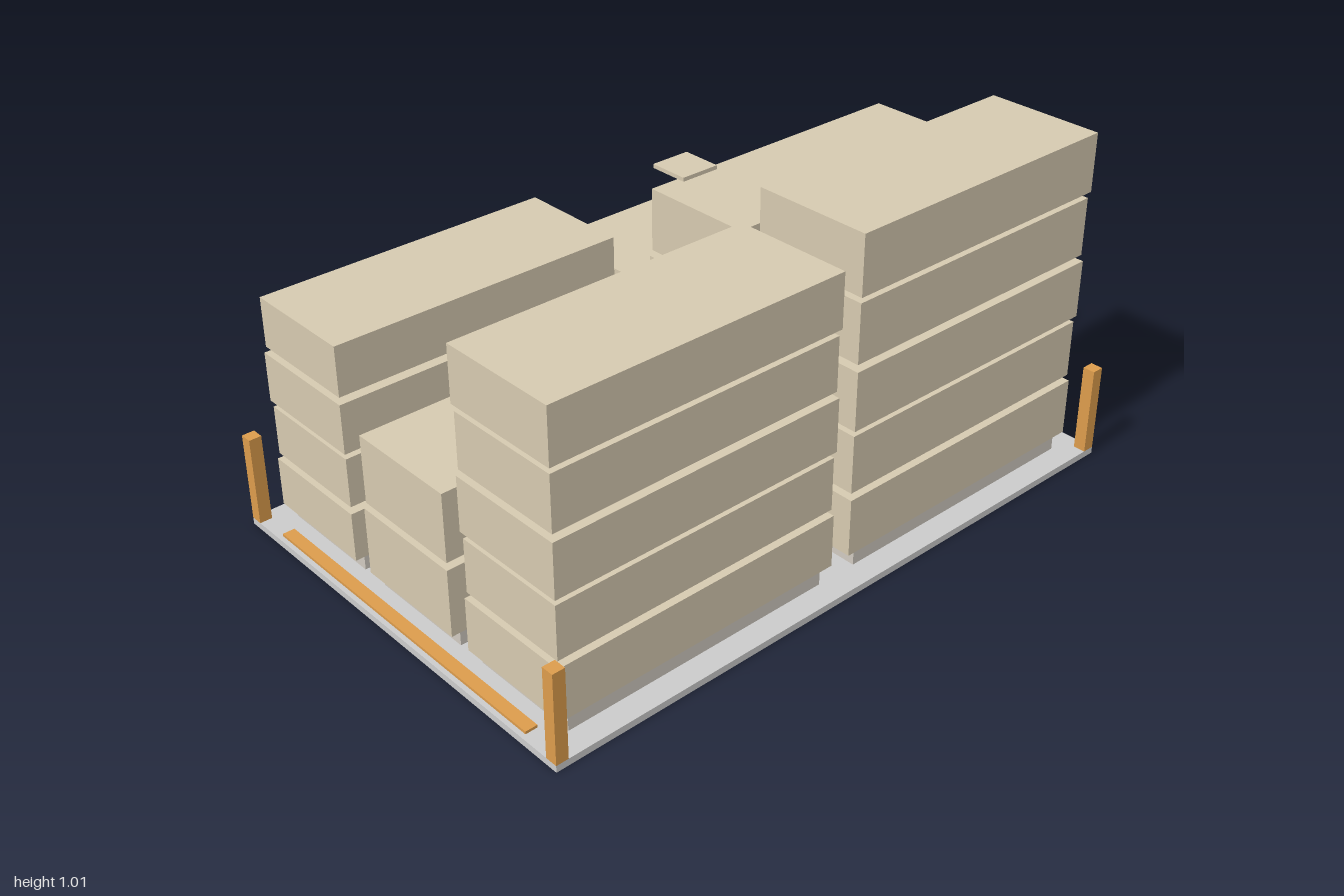
import * as THREE from 'three';

const material = (color) => new THREE.MeshStandardMaterial({ color });

export function createModel() {
  const model = new THREE.Group();
  model.name = 'loadedPlatform';

  const grey = material(0xcccccc);
  const tan = material(0xd6cab0);
  const paleTan = material(0xd0cac0);
  const orange = material(0xdc9c4c);

  // Box standing on height y, centred on x and z
  function addBox(parent, name, mat, [w, h, d], [x, y, z]) {
    const mesh = new THREE.Mesh(new THREE.BoxGeometry(w, h, d), mat);
    mesh.name = name;
    mesh.position.set(x, y + h / 2, z);
    parent.add(mesh);
  }

  // Base plate
  addBox(model, 'basePlate', grey, [1.33, 0.02, 2], [0, 0, 0]);

  // Corner posts
  for (const sx of [-1, 1]) {
    for (const sz of [-1, 1]) {
      addBox(model, 'cornerPost', orange, [0.037, 0.267, 0.037], [sx * 0.6465, 0.02, sz * 0.9815]);
    }
  }

  // Marking strip along the front edge
  addBox(model, 'frontStrip', orange, [1.066, 0.008, 0.036], [0, 0.02, 0.968]);

  // Stacks of crates: spaced layers, alternately wide and narrow, on a plinth
  const bottom = 0.07, gap = 0.0185;
  const stacks = [
    { x: -0.424, z: 0.484, count: 4, top: 0.71 },
    { x: 0, z: 0.484, count: 2, top: 0.49 },
    { x: 0.424, z: 0.484, count: 5, top: 0.932 },
    { x: -0.424, z: -0.484, count: 3, top: 0.56 },
    { x: 0, z: -0.484, count: 4, top: 0.86 },
    { x: 0.424, z: -0.484, count: 5, top: 1.01 },
  ];
  for (const { x, z, count, top } of stacks) {
    const stack = new THREE.Group();
    stack.name = 'crateStack';
    stack.position.set(x, 0, z);
    addBox(stack, 'plinth', paleTan, [0.334, 0.042, 0.84], [0, 0.02, 0]);
    const height = (top - bottom - gap * (count - 1)) / count;
    for (let i = 0; i < count; i++) {
      const size = i % 2 ? [0.346, height, 0.896] : [0.356, height, 0.904];
      addBox(stack, 'crate', tan, size, [0, bottom + i * (height + gap), 0]);
    }
    model.add(stack);
  }

  // Small plate hovering over the middle
  addBox(model, 'hoverPlate', tan, [0.116, 0.011, 0.116], [0, 0.988, 0]);

  return model;
}
